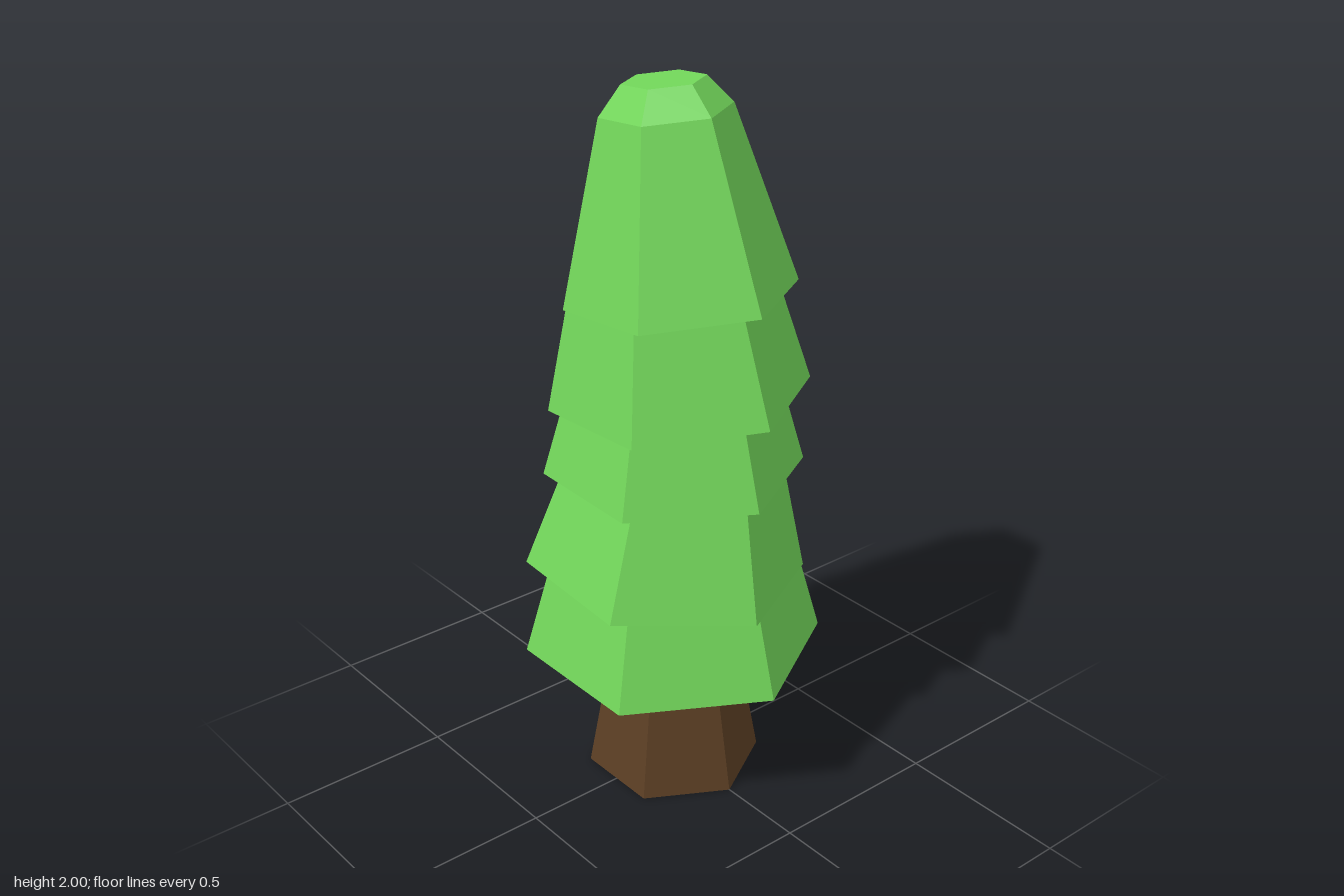
import * as THREE from 'three';

const SIDES = 6;

// Six-sided flat-shaded solid from a profile of [radius, height] pairs
function facetedLathe(profile, color, name) {
  const points = profile.map(([r, y]) => new THREE.Vector2(r, y));
  const mesh = new THREE.Mesh(
    new THREE.LatheGeometry(points, SIDES),
    new THREE.MeshStandardMaterial({ color, flatShading: true })
  );
  mesh.name = name;
  return mesh;
}

// Skirt of foliage: recessed underside, flat rim, then the outer slope
function foliageTier({ name, at, tilt, slope, hollow }) {
  const rim = slope[0][0] * 0.8;
  const top = slope[slope.length - 1][1];
  const profile = [[0, hollow], [rim, hollow], [rim, 0], ...slope, [0, top]];
  const tier = facetedLathe(profile, 0x72d65a, name);
  tier.position.set(...at);
  tier.rotation.set(...tilt);
  return tier;
}

export function createModel() {
  const tree = new THREE.Group();
  tree.name = 'tree';

  // Tapered trunk
  tree.add(facetedLathe([[0, 0], [0.247, 0], [0.138, 0.61], [0, 0.61]], 0x5c3f24, 'trunk'));

  // Tiers from bottom to top, each slightly shifted and tilted
  const tiers = [
    { name: 'lowestTier', at: [0, 0.395, 0], tilt: [0, 0, 0], hollow: 0.2,
      slope: [[0.42, 0], [0.328, 0.33]] },
    { name: 'lowerTier', at: [-0.022, 0.64, -0.007], tilt: [0.04, -0.03, -0.08], hollow: 0.1,
      slope: [[0.39, 0], [0.29, 0.34]] },
    { name: 'middleTier', at: [0.018, 0.927, -0.02], tilt: [0, -0.03, 0], hollow: 0.1,
      slope: [[0.358, 0], [0.278, 0.28]] },
    { name: 'upperTier', at: [0.03, 1.143, -0.01], tilt: [-0.05, 0, 0.045], hollow: 0.1,
      slope: [[0.357, 0], [0.268, 0.34]] },
    { name: 'crownTier', at: [0.03, 1.428, -0.005], tilt: [-0.09, 0, 0.03], hollow: 0.1,
      slope: [[0.313, 0], [0.174, 0.488], [0.11, 0.564]] },
  ];
  tiers.forEach((tier) => tree.add(foliageTier(tier)));

  return tree;
}
